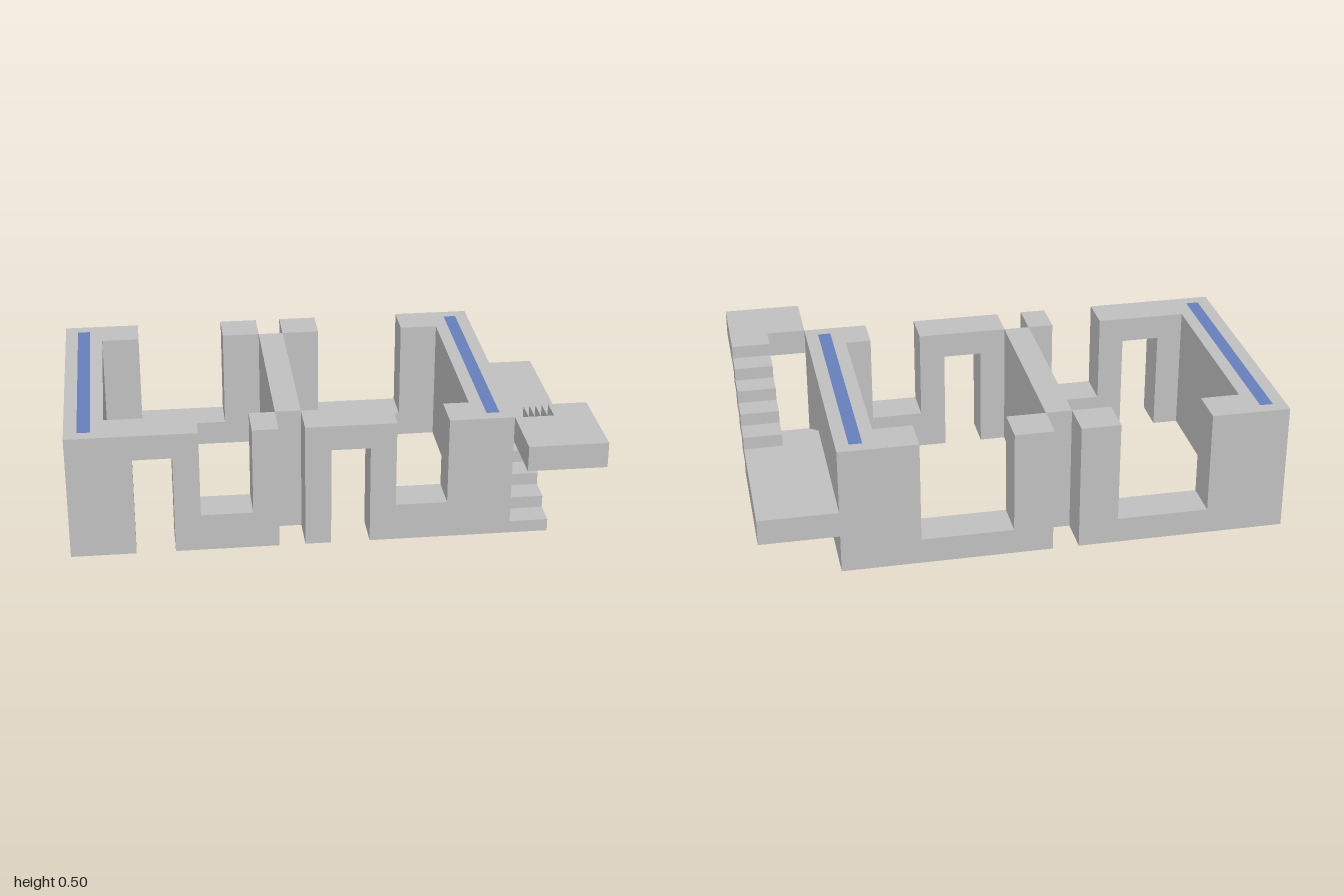
import * as THREE from 'three';

const grey = new THREE.MeshStandardMaterial({ color: 0xc0c0c0 });
grey.name = 'wallGrey';
const blue = new THREE.MeshStandardMaterial({ color: 0x6680bb });
blue.name = 'stripBlue';

const HEIGHT = 0.5;

function add(parent, name, geometry, material = grey) {
  const mesh = new THREE.Mesh(geometry, material);
  mesh.name = name;
  parent.add(mesh);
}

// Box given by its minimum and maximum on each axis
function box(parent, name, [x0, x1], [y0, y1], [z0, z1], material) {
  const g = new THREE.BoxGeometry(x1 - x0, y1 - y0, z1 - z0);
  g.translate((x0 + x1) / 2, (y0 + y1) / 2, (z0 + z1) / 2);
  add(parent, name, g, material);
}

function outline(points) {
  return new THREE.Shape(points.map(([x, y]) => new THREE.Vector2(x, y)));
}

// Upright wall, 0.15 deep, with an open-topped notch and an optional doorway
function wall(parent, name, [x0, x1], z, [n0, n1], sill, door) {
  const points = [[x0, 0]];
  if (door) points.push([door[0], 0], [door[0], 0.4], [door[1], 0.4], [door[1], 0]);
  points.push([x1, 0], [x1, HEIGHT], [n1, HEIGHT], [n1, sill], [n0, sill], [n0, HEIGHT], [x0, HEIGHT]);
  const g = new THREE.ExtrudeGeometry(outline(points), { depth: 0.15, bevelEnabled: false });
  g.translate(0, 0, z);
  add(parent, name, g);
}

// Solid side wall with a blue insert running through its full height
function sideWall(parent, name, x0, x1) {
  const s0 = x0 + 0.05, s1 = x0 + 0.1;
  const shape = outline([[x0, -0.4], [x1, -0.4], [x1, 0.65], [x0, 0.65]]);
  shape.holes.push(outline([[s0, -0.35], [s0, 0.6], [s1, 0.6], [s1, -0.35]]));
  const g = new THREE.ExtrudeGeometry(shape, { depth: HEIGHT, bevelEnabled: false });
  g.rotateX(-Math.PI / 2);
  add(parent, name, g);
  box(parent, name + 'Strip', [s0, s1], [0, HEIGHT], [-0.6, 0.35], blue);
}

export function createModel() {
  const model = new THREE.Group();
  model.name = 'building';

  // Rooms
  sideWall(model, 'rightSideWall', -1, -0.85);
  sideWall(model, 'leftSideWall', 0.55, 0.7);
  box(model, 'dividingWall', [-0.2, -0.1], [0, HEIGHT], [-0.5, 0.25]);
  wall(model, 'frontWallRight', [-0.85, -0.2], 0.25, [-0.5, -0.3], 0.15, [-0.75, -0.6]);
  wall(model, 'frontWallLeft', [-0.1, 0.55], 0.25, [0.25, 0.45], 0.15, [0, 0.15]);
  wall(model, 'backWallRight', [-0.85, -0.2], -0.65, [-0.7, -0.35], 0.1);
  wall(model, 'backWallLeft', [-0.1, 0.55], -0.65, [0.05, 0.4], 0.1);

  // Outside staircase: two flights turning on a landing
  const stairs = new THREE.Group();
  stairs.name = 'staircase';
  model.add(stairs);
  box(stairs, 'landing', [0.7, 1], [0.15, 0.25], [-0.65, -0.1]);
  box(stairs, 'topPlatform', [0.7, 1], [0.4, 0.5], [0.4, 0.65]);
  for (let i = 0; i < 5; i++) {
    const lowTop = 0.05 * (i + 1), lowZ = 0.3 - 0.1 * i;
    box(stairs, 'lowerStep', [0.7, 0.85], [Math.max(0, lowTop - 0.1), lowTop], [lowZ, lowZ + 0.1]);
    const highTop = 0.3 + 0.05 * i, highZ = -0.1 + 0.1 * i;
    box(stairs, 'upperStep', [0.85, 1], [highTop - 0.1, highTop], [highZ, highZ + 0.1]);
  }
  return model;
}
